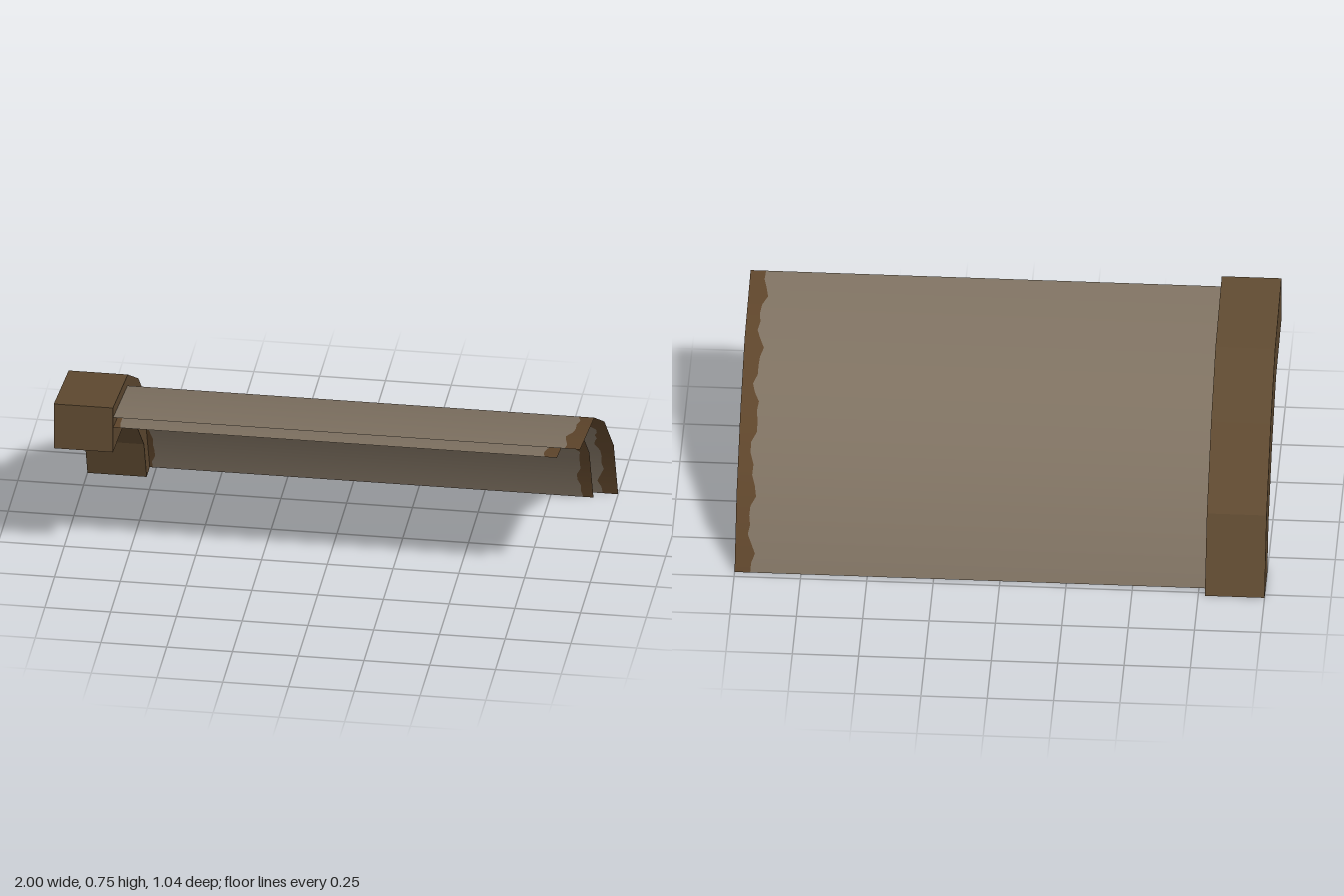
import * as THREE from 'three';

// Arch profiles as [z, y], from the front top edge down to the ground at the back
const RIB_OUTER = [[0.52, 0.745], [0.135, 0.687], [-0.135, 0.53], [-0.395, 0.29], [-0.52, 0]];
const RIB_INNER = [[0.52, 0.557], [0.19, 0.525], [-0.065, 0.375], [-0.28, 0.175], [-0.35, 0]];
const OUTER_SKIN = [[0.515, 0.702], [0.145, 0.645], [-0.112, 0.495], [-0.355, 0.268], [-0.47, 0]];
const INNER_SKIN = [[0.515, 0.66], [0.16, 0.608], [-0.09, 0.463], [-0.325, 0.245], [-0.43, 0]];
const STEPS = 8; // rows per profile segment, for the ragged colour border
const RIB_FACE = -0.775;

// Points along a profile with normals blended between its bends
function sampleProfile(profile) {
  const pts = profile.map(([z, y]) => new THREE.Vector2(z, y));
  const edgeNormals = pts.slice(1).map((p, i) => {
    const d = p.clone().sub(pts[i]).normalize();
    return new THREE.Vector2(d.y, -d.x);
  });
  const last = edgeNormals.length - 1;
  const normals = pts.map((_, i) =>
    edgeNormals[Math.max(i - 1, 0)].clone().add(edgeNormals[Math.min(i, last)]).normalize());
  const rows = [];
  for (let i = 0; i <= last; i++) {
    for (let s = i ? 1 : 0; s <= STEPS; s++) {
      rows.push({
        p: pts[i].clone().lerp(pts[i + 1], s / STEPS),
        n: normals[i].clone().lerp(normals[i + 1], s / STEPS).normalize(),
      });
    }
  }
  return rows;
}

// Curved strip between two x borders, each a function of the row number
function strip(name, profile, left, right, material) {
  const pos = [], nor = [], idx = [];
  sampleProfile(profile).forEach(({ p, n }, i) => {
    for (const x of [left(i), right(i)]) {
      pos.push(x, p.y, p.x);
      nor.push(0, Math.abs(n.y), n.y < 0 ? -n.x : n.x);
    }
    if (i) {
      const a = 2 * i - 2;
      idx.push(a, a + 1, a + 3, a, a + 3, a + 2);
    }
  });
  const g = new THREE.BufferGeometry();
  g.setAttribute('position', new THREE.Float32BufferAttribute(pos, 3));
  g.setAttribute('normal', new THREE.Float32BufferAttribute(nor, 3));
  g.setIndex(idx);
  const mesh = new THREE.Mesh(g, material);
  mesh.name = name;
  return mesh;
}

// Irregular border line around a base x
const ragged = (base, amount, phase) => (i) =>
  base + amount * (0.6 * Math.sin(i * 0.9 + phase) + 0.4 * Math.sin(i * 2.1 + phase * 2));
const straight = (x) => () => x;

export function createModel() {
  const wood = new THREE.MeshStandardMaterial({ color: 0x5e4930 });
  wood.name = 'brown wood';
  const hide = new THREE.MeshStandardMaterial({ color: 0x7e7161, side: THREE.DoubleSide });
  hide.name = 'grey brown cover';
  const trim = new THREE.MeshStandardMaterial({ color: 0x5e452b, side: THREE.DoubleSide });
  trim.name = 'brown edge';

  const group = new THREE.Group();
  group.name = 'archedCover';

  // Faceted curved rib at the right end
  const outline = [...RIB_OUTER, ...RIB_INNER.slice().reverse()];
  const ribGeometry = new THREE.ExtrudeGeometry(
    new THREE.Shape(outline.map(([z, y]) => new THREE.Vector2(z, y))),
    { depth: 1 + RIB_FACE, bevelEnabled: false });
  ribGeometry.rotateY(-Math.PI / 2).translate(RIB_FACE, 0, 0);
  const rib = new THREE.Mesh(ribGeometry, wood);
  rib.name = 'rib';
  group.add(rib);

  // Outer skin with a ragged brown border at the free end
  const outerBorder = ragged(0.942, 0.018, 2.5);
  group.add(
    strip('outerSkin', OUTER_SKIN, straight(RIB_FACE), outerBorder, hide),
    strip('outerSkinEdge', OUTER_SKIN, outerBorder, straight(1), trim));

  // Shorter inner skin with borders at both ends
  const innerLeft = ragged(-0.757, 0.011, 1);
  const innerRight = ragged(0.867, 0.014, 4);
  group.add(
    strip('innerSkinRibEdge', INNER_SKIN, straight(RIB_FACE), innerLeft, trim),
    strip('innerSkin', INNER_SKIN, innerLeft, innerRight, hide),
    strip('innerSkinFreeEdge', INNER_SKIN, innerRight, straight(0.912), trim));

  return group;
}
